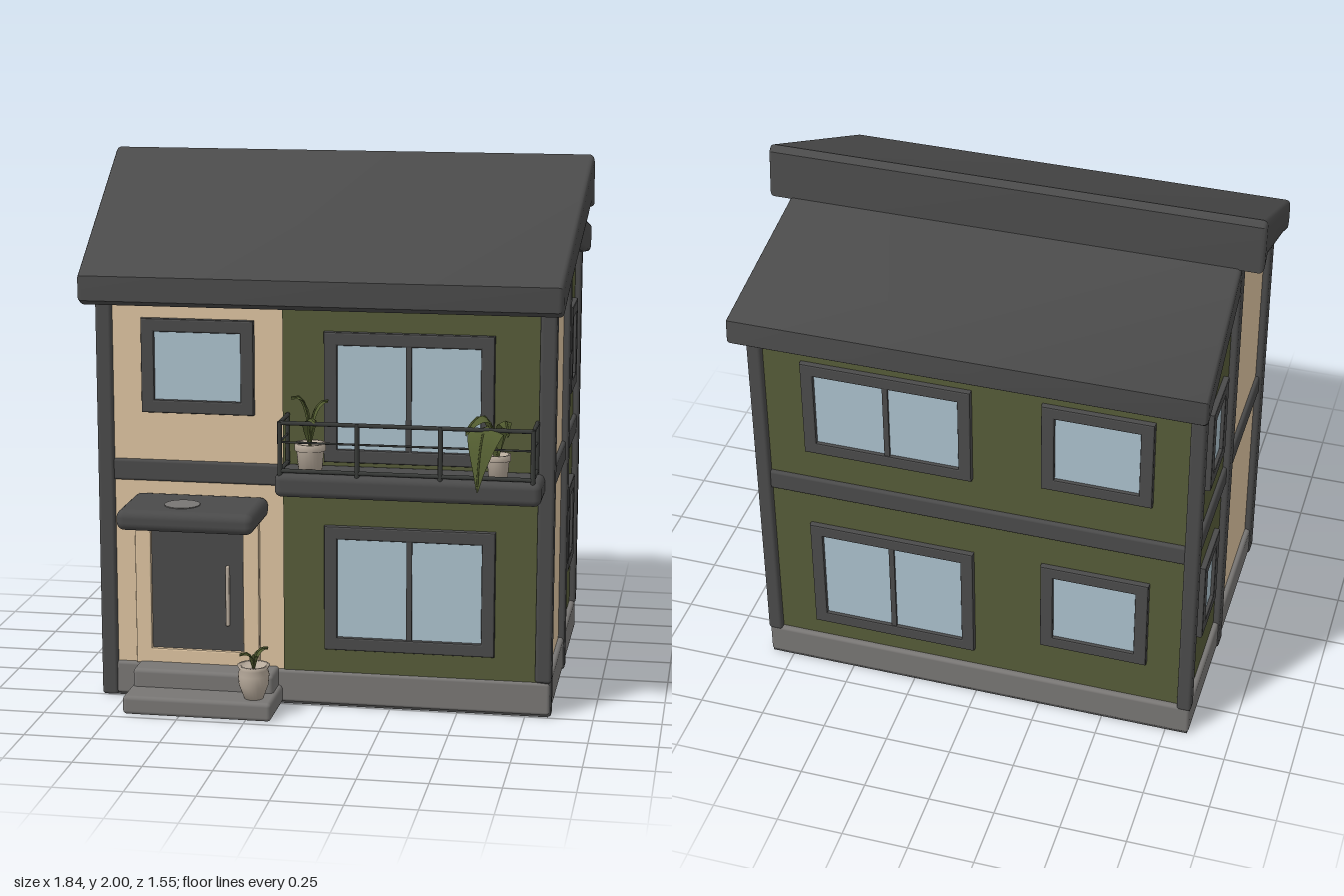
import * as THREE from 'three';
import { toCreasedNormals } from 'three/addons/utils/BufferGeometryUtils.js';
import { RoundedBoxGeometry } from 'three/addons/geometries/RoundedBoxGeometry.js';

const mat = (name, color, side = THREE.FrontSide) => {
  const m = new THREE.MeshStandardMaterial({ color, side });
  m.name = name;
  return m;
};

export function createModel() {
  const house = new THREE.Group();
  house.name = 'house';
  const dark = mat('dark trim', 0x4a4a4a);
  const green = mat('green wall', 0x565b38);
  const cream = mat('cream wall', 0xdcc3a0);
  const glass = mat('window glass', 0xabc1cd);
  const stone = mat('stone', 0x787674);
  const iron = mat('railing iron', 0x383a38);
  const clay = mat('pot clay', 0xb8ab9c);
  const leafMat = mat('leaf green', 0x525c30, THREE.DoubleSide);

  const add = (name, geo, material, parent = house) => {
    const m = new THREE.Mesh(geo, material);
    m.name = name;
    parent.add(m);
    return m;
  };
  // box given by its limits; r rounds the edges
  const box = (name, material, [x0, x1], [y0, y1], [z0, z1], r = 0, parent = house) => {
    const s = [x1 - x0, y1 - y0, z1 - z0];
    const g = r ? new RoundedBoxGeometry(...s, 3, r) : new THREE.BoxGeometry(...s);
    g.translate((x0 + x1) / 2, (y0 + y1) / 2, (z0 + z1) / 2);
    return add(name, g, material, parent);
  };
  // side profile of [z, y] points extruded across x, half width given as a rule of z
  const across = (name, material, pts, halfWidth, bevel = 0) => {
    const shape = new THREE.Shape(pts.map(([z, y]) => new THREE.Vector2(-z, y)));
    const g = new THREE.ExtrudeGeometry(shape, {
      depth: 2 - 2 * bevel, bevelEnabled: bevel > 0, bevelSize: bevel,
      bevelThickness: bevel, bevelOffset: -bevel, bevelSegments: 4,
    });
    g.translate(0, 0, -1 + bevel).rotateY(Math.PI / 2);
    const p = g.attributes.position;
    for (let i = 0; i < p.count; i++) p.setX(i, p.getX(i) * halfWidth(p.getZ(i)));
    return add(name, toCreasedNormals(g, 0.7), material);
  };

  // walls
  across('frontWalls', cream, [[0.48, 0.1], [0.48, 1.58], [-0.13, 1.9], [-0.13, 0.1]], () => 0.82);
  across('backWalls', green, [[-0.12, 0.1], [-0.12, 1.74], [-0.64, 1.6], [-0.64, 0.1]], () => 0.82);
  box('greenFrontPanel', green, [-0.15, 0.8], [0.12, 1.57], [0.478, 0.486]);

  // base, floor band and posts
  box('underside', dark, [-0.835, 0.835], [0, 0.008], [-0.655, 0.49]);
  box('base', stone, [-0.84, 0.84], [0.006, 0.13], [-0.66, 0.495], 0.012);
  box('floorBand', dark, [-0.835, 0.835], [0.83, 0.91], [-0.655, 0.492], 0.01);
  for (const s of [-1, 1]) {
    const span = (a, b) => (s > 0 ? [a, b] : [-b, -a]);
    box('frontPost', dark, span(0.785, 0.845), [s > 0 ? 0.13 : 0, 1.58], [0.43, 0.502], 0.012);
    if (s > 0) box('frontPostFoot', dark, [0.8, 0.845], [0, 0.14], [0.43, 0.49], 0.01);
    box('middlePost', dark, span(0.79, 0.845), [0, 1.8], [-0.16, -0.09], 0.01);
    box('backPost', dark, span(0.79, 0.845), [0.12, 1.62], [-0.663, -0.61], 0.012);
  }

  // roofs, widening towards the ridge and the back eave
  across('frontRoof', dark,
    [[0.59, 1.5], [0.63, 1.52], [0.63, 1.61], [-0.13, 2], [-0.152, 1.98], [-0.165, 1.8], [-0.08, 1.82], [0.44, 1.58]],
    (z) => 0.922 - (z + 0.15) * 0.06, 0.02);
  across('backRoof', dark,
    [[-0.1, 1.82], [-0.1, 1.68], [-0.62, 1.565], [-0.75, 1.55], [-0.775, 1.57], [-0.77, 1.66]],
    (z) => 0.843 - (z + 0.16) * 0.045, 0.02);

  // rectangular frame with a hole
  const frameGeo = (w, h, t, depth) => {
    const rect = (C, a, b) => new C([[-a, -b], [a, -b], [a, b], [-a, b]].map((p) => new THREE.Vector2(...p)));
    const s = rect(THREE.Shape, w / 2 - 0.006, h / 2 - 0.006);
    s.holes.push(rect(THREE.Path, w / 2 - t, h / 2 - t));
    return new THREE.ExtrudeGeometry(s, { depth, bevelSize: 0.006, bevelThickness: 0.006, bevelSegments: 2 });
  };
  // windows: wall turn, wall distance, then glass limits along and up the wall
  const windowOn = (name, turn, dist, [u0, u1], [v0, v1], split = false) => {
    const wall = new THREE.Group();
    wall.name = name;
    wall.rotation.y = turn;
    house.add(wall);
    const w = u1 - u0, h = v1 - v0;
    const f = add('frame', frameGeo(w + 0.09, h + 0.08, 0.043, 0.016), dark, wall);
    f.position.set((u0 + u1) / 2, (v0 + v1) / 2, dist);
    box('glass', glass, [u0 - 0.01, u1 + 0.01], [v0 - 0.01, v1 + 0.01], [dist, dist + 0.008], 0, wall);
    const c = (u0 + u1) / 2;
    if (split) box('mullion', dark, [c - 0.01, c + 0.01], [v0, v1], [dist, dist + 0.018], 0, wall);
  };
  windowOn('frontSmallWindow', 0, 0.48, [-0.63, -0.3], [1.13, 1.4]);
  windowOn('balconyWindow', 0, 0.486, [0.05, 0.58], [0.97, 1.37], true);
  windowOn('frontLowerWindow', 0, 0.486, [0.05, 0.59], [0.26, 0.65], true);
  windowOn('backUpperWideWindow', Math.PI, 0.64, [-0.6, -0.05], [1.08, 1.4], true);
  windowOn('backLowerWideWindow', Math.PI, 0.64, [-0.6, -0.05], [0.25, 0.65], true);
  windowOn('backUpperSmallWindow', Math.PI, 0.64, [0.3, 0.62], [1.11, 1.4]);
  windowOn('backLowerSmallWindow', Math.PI, 0.64, [0.3, 0.62], [0.35, 0.66]);
  for (const s of [-1, 1])
    for (const v of [[0.39, 0.65], [1.1, 1.36]])
      windowOn('sideWindow', (s * Math.PI) / 2, 0.82, s > 0 ? [0.3, 0.45] : [-0.45, -0.3], v);

  // entrance: door, surround, handle, canopy and steps
  add('doorSurround', frameGeo(0.47, 0.58, 0.055, 0.014), cream).position.set(-0.475, 0.42, 0.48);
  box('door', dark, [-0.65, -0.29], [0.13, 0.68], [0.478, 0.488]);
  box('doorHandle', clay, [-0.366, -0.352], [0.29, 0.52], [0.488, 0.508], 0.005);
  box('canopy', dark, [-0.71, -0.205], [0.708, 0.785], [0.47, 0.775], 0.03);
  const lamp = add('canopyDisc', new THREE.CylinderGeometry(0.065, 0.065, 0.006, 24), stone);
  lamp.position.set(-0.49, 0.785, 0.65);
  box('lowerStep', stone, [-0.71, -0.155], [0, 0.07], [0.45, 0.722], 0.015);
  box('upperStep', stone, [-0.7, -0.17], [0.03, 0.138], [0.45, 0.6], 0.015);

  // balcony slab and railing
  box('balconySlab', dark, [-0.15, 0.81], [0.828, 0.915], [0.47, 0.662], 0.025);
  const bar = (a, b, r) => {
    const A = new THREE.Vector3(...a), B = new THREE.Vector3(...b);
    const m = add('railingBar', new THREE.CylinderGeometry(r, r, A.distanceTo(B), 8), iron);
    m.position.copy(A).lerp(B, 0.5);
    m.quaternion.setFromUnitVectors(new THREE.Vector3(0, 1, 0), B.sub(A).normalize());
  };
  const zr = 0.645;
  for (const [y, r] of [[1.1, 0.008], [1.03, 0.004], [0.925, 0.008]]) {
    bar([-0.13, y, zr], [0.78, y, zr], r);
    for (const x of [-0.13, 0.78]) bar([x, y, 0.49], [x, y, zr], r);
  }
  for (const x of [-0.13, 0.15, 0.45, 0.78]) bar([x, 0.9, zr], [x, 1.105, zr], 0.009);
  for (const x of [-0.13, 0.78]) bar([x, 0.9, 0.5], [x, 1.105, 0.5], 0.008);

  // potted plants; a leaf is a strip swept along a curve
  const leaf = (pts, width, parent) => {
    const c = new THREE.QuadraticBezierCurve3(...pts.map((p) => new THREE.Vector3(...p)));
    const g = new THREE.PlaneGeometry(1, 1, 4, 10), p = g.attributes.position;
    const d = c.v2.clone().sub(c.v0);
    const side = new THREE.Vector3(d.z, 0, -d.x).normalize();
    for (let i = 0; i < p.count; i++) {
      const t = p.getY(i) + 0.5, u = p.getX(i);
      const q = c.getPoint(t).addScaledVector(side, u * width * Math.sin(Math.PI * Math.min(t, 0.99)));
      p.setXYZ(i, q.x, q.y - Math.abs(u) * width * 0.35, q.z);
    }
    g.computeVertexNormals();
    add('leaf', g, leafMat, parent);
  };
  const plant = (name, x, y, z, profile, leaves) => {
    const g = new THREE.Group();
    g.name = name;
    g.position.set(x, y, z);
    house.add(g);
    add('pot', new THREE.LatheGeometry(profile.map((p) => new THREE.Vector2(...p)), 24), clay, g);
    for (const [w, ...pts] of leaves) {
      leaf(pts, w, g);
      const stem = new THREE.QuadraticBezierCurve3(...pts.map((p) => new THREE.Vector3(...p)));
      add('stem', new THREE.TubeGeometry(stem, 8, 0.004, 5), leafMat, g);
    }
  };
  const bucket = [[0, 0], [0.042, 0], [0.05, 0.08], [0.057, 0.082], [0.057, 0.108], [0.046, 0.108], [0.044, 0.095], [0, 0.095]];
  const urn = [[0, 0], [0.035, 0], [0.054, 0.05], [0.058, 0.09], [0.052, 0.11], [0.06, 0.125], [0.046, 0.125], [0.044, 0.11], [0, 0.11]];
  plant('balconyLeftPlant', -0.03, 0.91, 0.585, bucket, [
    [0.05, [0, 0.09, 0], [0, 0.31, 0], [-0.06, 0.28, 0.04]],
    [0.05, [0, 0.09, 0], [0, 0.27, 0], [0.06, 0.26, -0.03]],
    [0.05, [0, 0.09, 0], [-0.01, 0.24, 0.02], [0.03, 0.2, 0.07]],
  ]);
  plant('balconyRightPlant', 0.65, 0.91, 0.585, bucket.map(([r, y]) => [r * 0.8, y * 0.85]), [
    [0.14, [0, 0.08, 0], [-0.05, 0.36, 0.05], [-0.06, 0, 0.13]],
    [0.09, [0, 0.08, 0], [-0.03, 0.33, 0.02], [-0.11, 0.18, 0.06]],
    [0.06, [0, 0.08, 0], [0.02, 0.3, 0], [0.04, 0.17, 0.05]],
  ]);
  plant('entrancePlant', -0.23, 0.07, 0.655, urn, [
    [0.035, [0, 0.1, 0], [0, 0.19, 0], [-0.045, 0.17, 0.03]],
    [0.035, [0, 0.1, 0], [0, 0.2, 0], [0.045, 0.18, -0.04]],
    [0.03, [0, 0.1, 0], [0, 0.19, 0], [0.01, 0.165, 0.05]],
  ]);

  return house;
}
